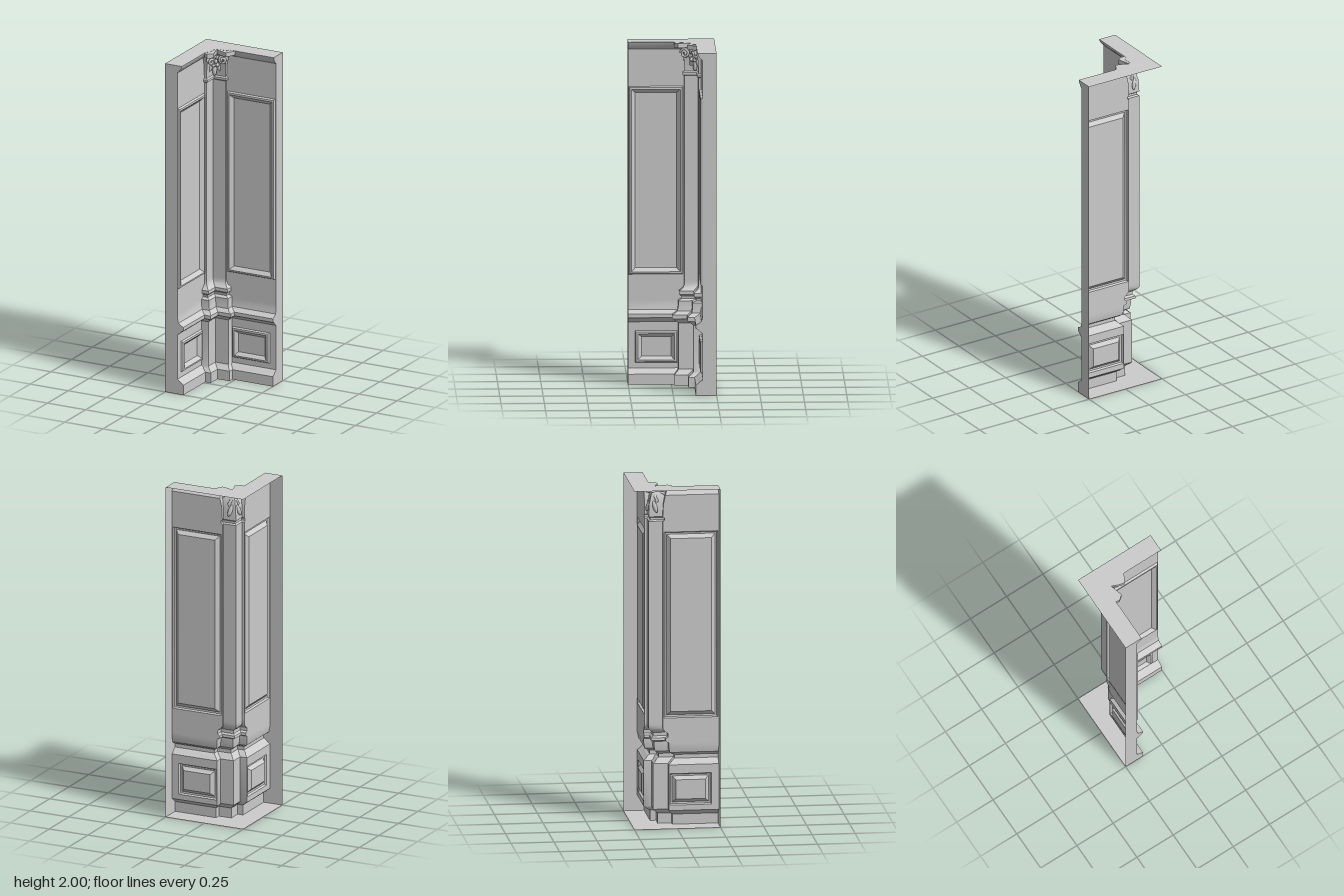
import * as THREE from 'three';
import { toCreasedNormals } from 'three/addons/utils/BufferGeometryUtils.js';

const BACK = -0.25, END = 0.25, TOP = 2, WALL = -0.17;

// Rows of [height, wall face, pilaster face, pilaster arm end]
const ROWS = [
  [0, -0.13, -0.095, -0.015], [0.06, -0.13, -0.095, -0.015], [0.07, -0.145, -0.105, -0.025],
  [0.08, -0.155, -0.118, -0.035], [0.09, WALL, -0.125, -0.04], [0.36, WALL, -0.125, -0.04],
  [0.37, -0.155, -0.112, -0.028], [0.385, -0.142, -0.1, -0.012], [0.39, -0.13, -0.09, -0.003],
  [0.412, -0.13, -0.09, -0.003], [0.42, -0.147, -0.1, -0.02], [0.432, -0.163, -0.115, -0.035],
  [0.465, WALL, -0.12, -0.04], [0.49, WALL, -0.12, -0.04], [0.5, WALL, -0.14, -0.06],
  [0.515, WALL, -0.138, -0.058], [0.525, WALL, -0.127, -0.045], [0.545, WALL, -0.127, -0.045],
  [0.56, WALL, -0.145, -0.065], [0.575, WALL, -0.155, -0.075], [0.6, WALL, -0.155, -0.075],
  [1.78, WALL, -0.155, -0.075], [1.8, WALL, -0.155, -0.075], [1.807, WALL, -0.145, -0.065],
  [1.82, WALL, -0.145, -0.065], [1.827, WALL, -0.155, -0.075], [1.9, WALL, -0.152, -0.072],
  [1.955, WALL, -0.138, -0.06], [1.965, -0.16, -0.13, -0.055], [1.982, -0.146, -0.125, -0.05],
  [TOP, -0.14, -0.12, -0.045],
];
// Height bands of the wings that hold a panel
const UPPER = [0.6, 1.78], LOWER = [0.09, 0.36];

const material = new THREE.MeshStandardMaterial({ color: 0xcccccc, side: THREE.DoubleSide });

function add(parent, name, geometry) {
  const mesh = new THREE.Mesh(geometry, material);
  mesh.name = name;
  parent.add(mesh);
  return mesh;
}

function quad(out, a, b, c, d) {
  out.push(...a, ...b, ...c, ...a, ...c, ...d);
}

function surface(out) {
  const g = new THREE.BufferGeometry();
  g.setAttribute('position', new THREE.Float32BufferAttribute(out, 3));
  return toCreasedNormals(g, 0.6);
}

// Plan outline of the room side at one height
const plan = ([, w, n, a]) => [[END, w], [a, w], [a, n], [n, n], [n, a], [w, a], [w, END]];

function wallShell() {
  const out = [];
  for (let i = 0; i < ROWS.length - 1; i++) {
    const lo = plan(ROWS[i]), hi = plan(ROWS[i + 1]);
    const y0 = ROWS[i][0], y1 = ROWS[i + 1][0];
    const hasPanel = y0 === UPPER[0] || y0 === LOWER[0];
    for (let j = 0; j < 6; j++) {
      if (hasPanel && (j === 0 || j === 5)) continue;
      const at = ([x, z], y) => [x, y, z];
      quad(out, at(lo[j + 1], y0), at(lo[j], y0), at(hi[j], y1), at(hi[j + 1], y1));
    }
  }
  return surface(out);
}

// Nested rectangles [left, right, bottom, top, relief]; swap puts them on the other wing
function panel(rects, swap) {
  const out = [];
  const corners = ([l, r, b, t, d]) => [[l, b], [r, b], [r, t], [l, t]]
    .map(([u, y]) => (swap ? [WALL + d, y, u] : [u, y, WALL + d]));
  const face = (a, b, c, d) => (swap ? quad(out, d, c, b, a) : quad(out, a, b, c, d));
  for (let i = 0; i < rects.length - 1; i++) {
    const o = corners(rects[i]), n = corners(rects[i + 1]);
    for (let k = 0; k < 4; k++) face(o[k], o[(k + 1) % 4], n[(k + 1) % 4], n[k]);
  }
  face(...corners(rects.at(-1)));
  return surface(out);
}

// Moulded frame: [inset, relief] steps inside an outer rectangle
const framed = (band, [l, r, b, t], steps) => [
  band, ...steps.map(([s, d]) => [l + s, r - s, b + s, t - s, d])];

function capGeometry(row) {
  const pts = [...plan(row), [BACK, END], [BACK, BACK], [END, BACK]];
  return new THREE.ShapeGeometry(new THREE.Shape(pts.map(([x, z]) => new THREE.Vector2(x, -z))))
    .rotateX(-Math.PI / 2).translate(0, row[0], 0);
}

// Closed end of a wing, cut to the moulding profile
function endGeometry() {
  const pts = [[BACK, 0], ...ROWS.map(([y, w]) => [w, y]), [BACK, TOP]];
  return new THREE.ShapeGeometry(new THREE.Shape(pts.map(([x, y]) => new THREE.Vector2(x, y))));
}

// Abacus with hollow sides over the corner
function abacusGeometry() {
  const s = new THREE.Shape();
  s.moveTo(-0.17, 0.17);
  s.lineTo(-0.005, 0.14);
  s.lineTo(-0.035, 0.088);
  s.quadraticCurveTo(-0.075, 0.095, -0.11, 0.115);
  s.quadraticCurveTo(-0.1, 0.07, -0.088, 0.038);
  s.lineTo(-0.118, 0.014);
  s.lineTo(-0.14, 0.02);
  s.closePath();
  return new THREE.ExtrudeGeometry(s, { depth: 0.026, bevelEnabled: false, curveSegments: 8 })
    .rotateX(-Math.PI / 2).translate(0, TOP - 0.027, 0);
}

// Scroll curling in a vertical plane
function voluteGeometry() {
  const pts = [];
  for (let i = 0; i <= 28; i++) {
    const t = i / 28, a = t * Math.PI * 3.4, r = 0.027 * (1 - 0.8 * t);
    pts.push(new THREE.Vector3(Math.cos(a) * r, Math.sin(a) * r, 0.012 * t));
  }
  return new THREE.TubeGeometry(new THREE.CatmullRomCurve3(pts), 48, 0.008, 7);
}

function capital() {
  const g = new THREE.Group();
  g.name = 'capital';
  add(g, 'abacus', abacusGeometry());

  // Scrolls on both arms
  for (const side of [1, -1]) {
    const scroll = add(g, 'scroll', voluteGeometry());
    scroll.position.set(side > 0 ? -0.078 : -0.13, 1.937, side > 0 ? -0.13 : -0.078);
    scroll.rotation.y = side > 0 ? 0.35 : Math.PI / 2 - 0.35;
    scroll.scale.set(side, 1, 1);
  }

  // Rosette and hanging leaves facing the diagonal
  const front = new THREE.Group();
  front.name = 'rosette';
  front.position.set(-0.128, 1.92, -0.128);
  front.rotation.y = Math.PI / 4;
  add(front, 'rosetteRing', new THREE.TorusGeometry(0.026, 0.008, 8, 20));
  add(front, 'rosetteBud', new THREE.SphereGeometry(0.015, 14, 10)).scale.z = 0.8;
  for (let i = 0; i < 6; i++) {
    const petal = add(front, 'petal', new THREE.SphereGeometry(0.011, 10, 8));
    petal.position.set(Math.cos(i * Math.PI / 3) * 0.026, Math.sin(i * Math.PI / 3) * 0.026, 0.004);
  }
  for (const k of [-1, 0, 1]) {
    const leaf = add(front, 'leaf', new THREE.SphereGeometry(1, 12, 10));
    leaf.scale.set(0.014, 0.036, 0.012);
    leaf.position.set(k * 0.024, k ? -0.035 : -0.055, -0.012);
    leaf.rotation.z = k * 0.4;
  }
  g.add(front);
  return g;
}

export function createModel() {
  const model = new THREE.Group();
  model.name = 'cornerWallPanel';

  add(model, 'wallAndPilaster', wallShell());
  add(model, 'topCap', capGeometry(ROWS.at(-1)));
  add(model, 'bottomCap', capGeometry(ROWS[0]));

  // Panels and closed ends, on both wings
  const upper = framed([-0.075, END, ...UPPER, 0], [-0.068, 0.245, 0.638, 1.737],
    [[0, 0], [0.006, 0.012], [0.016, 0.014], [0.026, 0.006], [0.038, -0.006], [0.042, -0.006]]);
  const lower = framed([-0.04, END, ...LOWER, 0], [-0.036, 0.208, 0.122, 0.308],
    [[0, 0], [0.006, 0.012], [0.016, 0.014], [0.026, 0.006], [0.036, -0.006], [0.04, -0.006]]);
  for (const swap of [false, true]) {
    add(model, 'upperPanel', panel(upper, swap));
    add(model, 'lowerPanel', panel(lower, swap));
    const end = add(model, 'wingEnd', endGeometry());
    if (swap) end.position.z = END;
    else {
      end.rotation.y = -Math.PI / 2;
      end.position.x = END;
    }
  }

  model.add(capital());
  return model;
}
